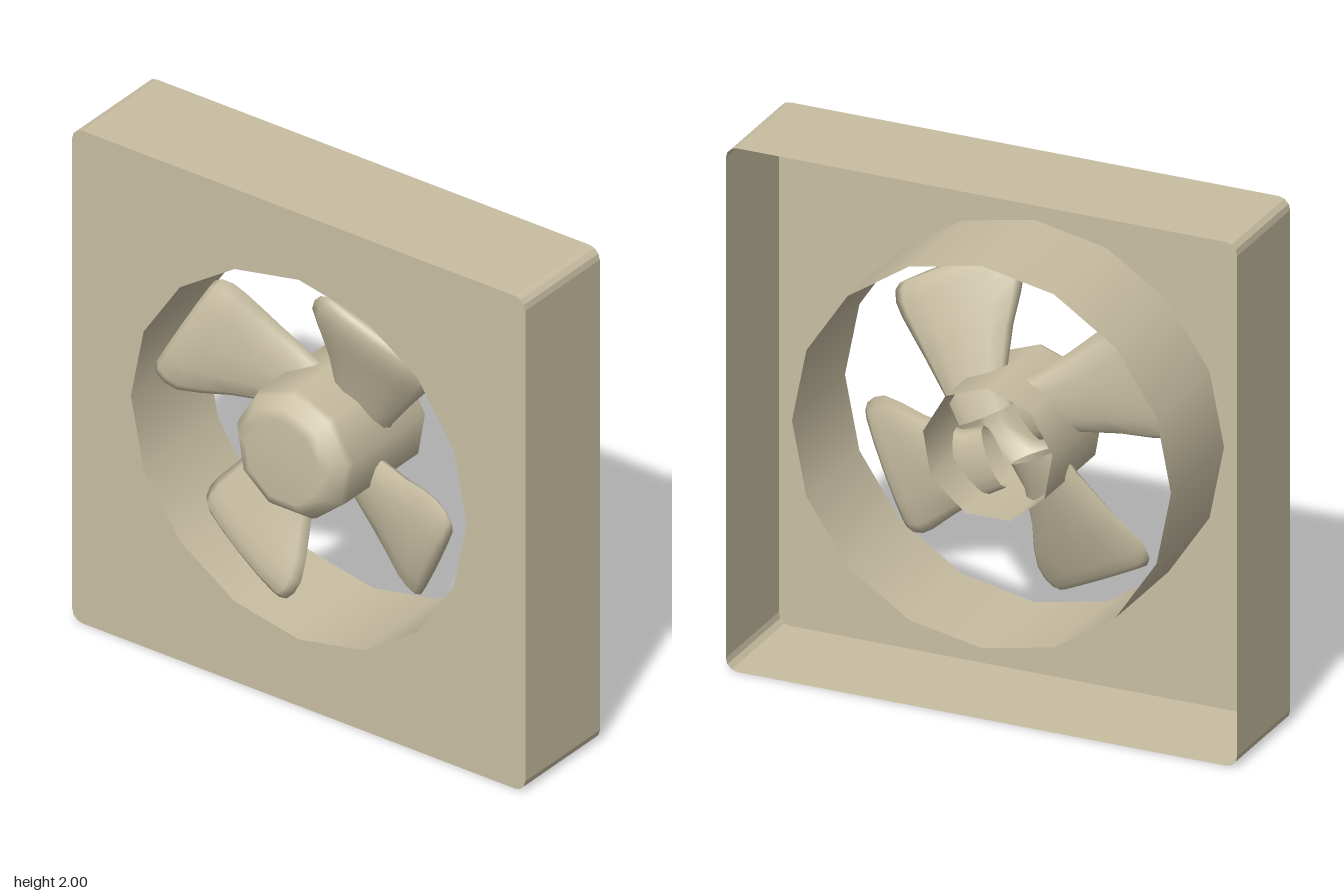
import * as THREE from 'three';

const FRONT = 0.185, BACK = -0.25, CENTRE = 1;

// Skin a list of closed cross-sections; optionally close the last one with a fan.
function loft(rings, capEnd = false) {
  const n = rings[0].length, pos = [], index = [];
  rings.forEach(r => r.forEach(p => pos.push(p.x, p.y, p.z)));
  for (let i = 0; i < rings.length - 1; i++) {
    for (let j = 0; j < n; j++) {
      const k = (j + 1) % n;
      const a = i * n + j, b = i * n + k, c = a + n, d = b + n;
      index.push(a, b, d, a, d, c);
    }
  }
  if (capEnd) {
    const last = rings[rings.length - 1], mid = new THREE.Vector3();
    last.forEach(p => mid.addScaledVector(p, 1 / n));
    pos.push(mid.x, mid.y, mid.z);
    const base = (rings.length - 1) * n;
    for (let j = 0; j < n; j++) index.push(base + n, base + j, base + (j + 1) % n);
  }
  const g = new THREE.BufferGeometry();
  g.setAttribute('position', new THREE.Float32BufferAttribute(pos, 3));
  g.setIndex(index);
  g.computeVertexNormals();
  return g;
}

// Rounded rectangle outline, counter-clockwise
function outline(halfW, halfH, r, steps) {
  const pts = [];
  [[1, 1], [-1, 1], [-1, -1], [1, -1]].forEach(([sx, sy], q) => {
    for (let i = 0; i <= steps; i++) {
      const a = (q + i / steps) * Math.PI / 2;
      pts.push(new THREE.Vector2(
        sx * (halfW - r) + r * Math.cos(a), sy * (halfH - r) + r * Math.sin(a)));
    }
  });
  return pts;
}

// One paddle blade along +x: [distance, sideways, forward, half width, half thickness]
function bladeGeometry() {
  const stations = [
    [0.10, -0.055, -0.060, 0.115, 0.050],
    [0.20, -0.055, -0.040, 0.122, 0.052],
    [0.35, -0.030, 0.005, 0.178, 0.052],
    [0.44, -0.010, 0.035, 0.220, 0.052],
    [0.51, 0.000, 0.060, 0.248, 0.050],
    [0.56, 0.000, 0.072, 0.252, 0.046],
    [0.60, 0.000, 0.080, 0.240, 0.038],
    [0.62, 0.000, 0.082, 0.215, 0.022],
  ];
  const pitch = 0.19, sides = 12;
  const rings = stations.map(([u, v, z, w, t]) => {
    const ring = [];
    for (let i = 0; i < sides; i++) {
      const a = i / sides * Math.PI * 2;
      const p = w * Math.cos(a), q = t * Math.sin(a);
      ring.push(new THREE.Vector3(u,
        v + p * Math.cos(pitch) - q * Math.sin(pitch),
        z + p * Math.sin(pitch) + q * Math.cos(pitch)));
    }
    return ring;
  });
  return loft(rings, true);
}

export function createModel() {
  const model = new THREE.Group();
  model.name = 'boxFan';
  const beige = new THREE.MeshStandardMaterial({ color: 0xc8bea2, side: THREE.DoubleSide });
  beige.name = 'beige';
  const add = (parent, name, geometry) => {
    const mesh = new THREE.Mesh(geometry, beige);
    mesh.name = name;
    parent.add(mesh);
    return mesh;
  };

  // Housing: front plate with a sixteen-sided opening, open at the back
  const housing = new THREE.Group();
  housing.name = 'housing';
  housing.position.y = CENTRE;
  model.add(housing);

  const edge = outline(0.985, 1, 0.045, 3);
  const plate = new THREE.Shape(edge);
  const hole = [];
  for (let i = 0; i < 16; i++) {
    const a = -i / 16 * Math.PI * 2;
    hole.push(new THREE.Vector2(0.73 * Math.cos(a), 0.73 * Math.sin(a)));
  }
  plate.holes.push(new THREE.Path(hole));
  add(housing, 'frontPlate', new THREE.ShapeGeometry(plate)).position.z = FRONT;

  // Thin side walls
  const walls = loft([BACK, FRONT].map(z => edge.map(p => new THREE.Vector3(p.x, p.y, z))))
    .toNonIndexed();
  walls.computeVertexNormals();
  add(housing, 'sideWalls', walls);

  // Air duct behind the opening
  const duct = new THREE.CylinderGeometry(0.73, 0.73, FRONT - BACK, 16, 1, true);
  duct.rotateX(Math.PI / 2);
  add(housing, 'airDuct', duct).position.z = (FRONT + BACK) / 2;

  // Rotor: nine-sided hollow hub with a domed front and four blades
  const rotor = new THREE.Group();
  rotor.name = 'rotor';
  rotor.position.set(-0.024, 1.013, 0);
  model.add(rotor);

  const profile = [[0.253, BACK], [0.253, 0.165], [0.243, 0.19], [0.205, 0.235], [0.165, 0.25], [0, 0.25]]
    .map(([r, z]) => new THREE.Vector2(r, z));
  const hub = new THREE.LatheGeometry(profile, 9, Math.PI);
  hub.rotateX(Math.PI / 2);
  add(rotor, 'hub', hub);

  const blade = bladeGeometry();
  for (let i = 0; i < 4; i++) {
    add(rotor, 'blade', blade).rotation.z = THREE.MathUtils.degToRad(62 + i * 90);
  }
  return model;
}
